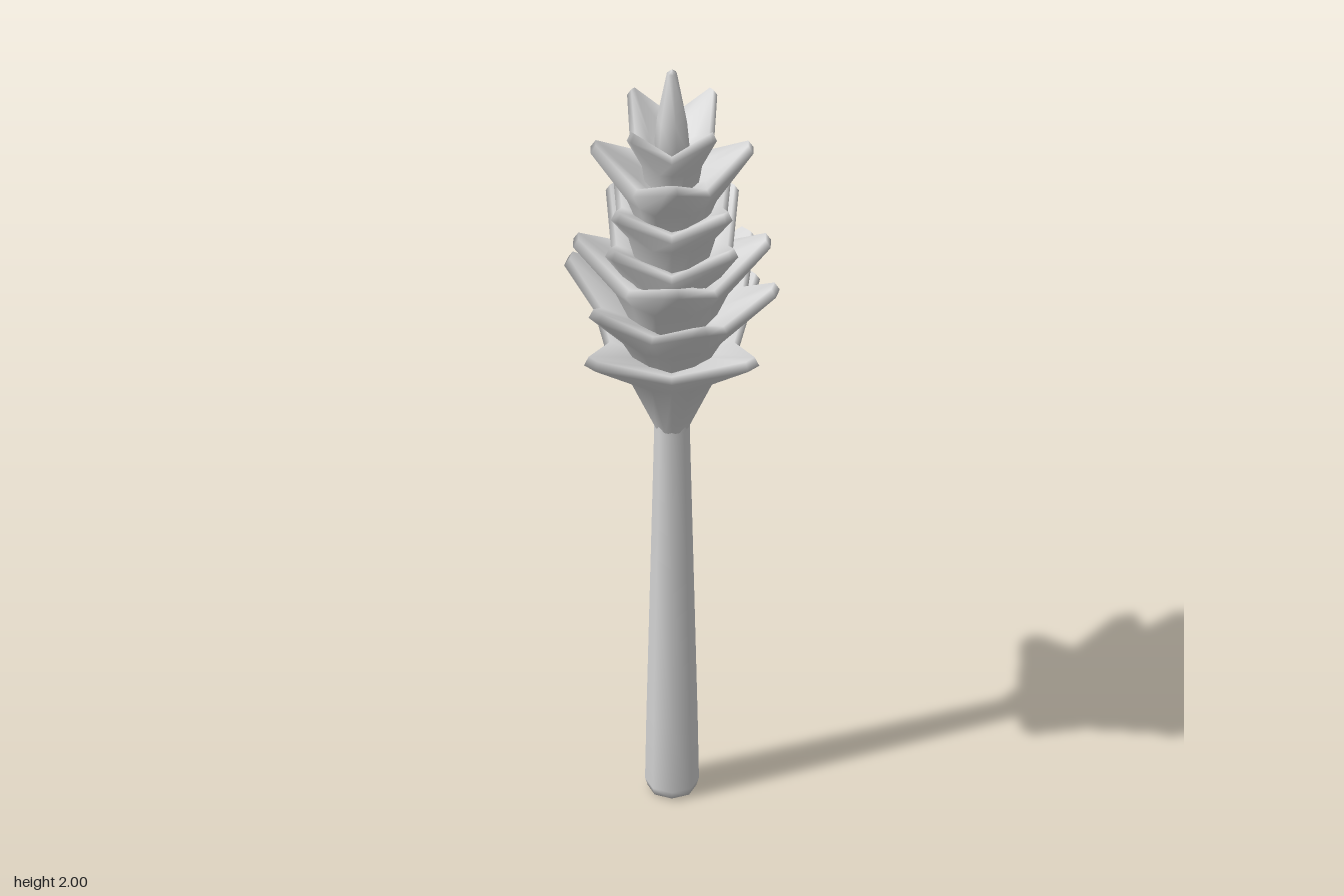
import * as THREE from 'three';

// Skin closed loops of equal length, ordered bottom to top outside, then down the inside.
function skin(loops) {
  const n = loops[0].length, pos = loops.flat(2), idx = [];
  for (let i = 0; i < loops.length - 1; i++) {
    for (let j = 0; j < n; j++) {
      const a = i * n + j, b = i * n + (j + 1) % n;
      idx.push(a, b, b + n, a, b + n, a + n);
    }
  }
  const g = new THREE.BufferGeometry();
  g.setAttribute('position', new THREE.Float32BufferAttribute(pos, 3));
  g.setIndex(idx);
  g.computeVertexNormals();
  return g;
}

// One ring of a star cup: blunt petal tips alternating with notches.
function starLoop(n, turn, rTip, yTip, halfWidth, rNotch, yNotch) {
  const loop = [];
  const put = (r, a, y) => loop.push([r * Math.sin(a), y, r * Math.cos(a)]);
  for (let k = 0; k < n; k++) {
    const a = turn + k * 2 * Math.PI / n;
    const w = Math.min(halfWidth / rTip, 0.5 * Math.PI / n);
    put(rTip, a - w, yTip);
    put(rTip, a + w, yTip);
    put(rNotch, a + Math.PI / n, yNotch);
  }
  return loop;
}

// A whorl of upturned pointed bracts joined into a cup.
function cup({ n = 4, turn = 0, blunt = 0.018, base, rBase, belly, rBelly, tip, rTip, notch, rNotch }) {
  return skin([
    starLoop(n, turn, rBase, base, 0.03, rBase, base),
    starLoop(n, turn, rBelly, belly, 0.04, rBelly * 0.95, belly),
    starLoop(n, turn, rTip, tip - 0.02, blunt, rNotch, notch - 0.015),
    starLoop(n, turn, rTip - 0.012, tip, blunt * 0.8, rNotch - 0.012, notch),
    starLoop(n, turn, rBelly * 0.75, belly + 0.05, 0.03, rBelly * 0.7, belly + 0.04),
    starLoop(n, turn, 0.01, belly + 0.02, 0.003, 0.01, belly + 0.02),
  ]);
}

export function createModel() {
  const group = new THREE.Group();
  const grey = new THREE.MeshStandardMaterial({ color: 0xd4d4d4, side: THREE.DoubleSide });
  grey.name = 'grey';
  const add = (name, geometry) => {
    const mesh = new THREE.Mesh(geometry, grey);
    mesh.name = name;
    group.add(mesh);
  };
  const lathe = (points, sides) =>
    new THREE.LatheGeometry(points.map(([x, y]) => new THREE.Vector2(x, y)), sides);

  // Tapered stem with a nearly flat foot
  add('stem', lathe([[0, 0], [0.056, 0.005], [0.062, 0.025], [0.059, 0.2], [0.05, 0.6], [0.041, 1.0], [0.045, 1.06]], 8));

  // Whorls of bracts from the bottom up
  const diagonal = Math.PI / 4;
  const whorls = [
    { base: 1.01, rBase: 0.04, belly: 1.17, rBelly: 0.11, tip: 1.315, rTip: 0.268, notch: 1.24, rNotch: 0.155 },
    { n: 6, base: 1.15, rBase: 0.06, belly: 1.28, rBelly: 0.13, tip: 1.44, rTip: 0.253, notch: 1.365, rNotch: 0.18 },
    { turn: diagonal, base: 1.27, rBase: 0.08, belly: 1.4, rBelly: 0.135, tip: 1.535, rTip: 0.228, notch: 1.45, rNotch: 0.15 },
    { blunt: 0.012, base: 1.33, rBase: 0.08, belly: 1.45, rBelly: 0.12, tip: 1.59, rTip: 0.205, notch: 1.51, rNotch: 0.14 },
    { blunt: 0.01, base: 1.45, rBase: 0.08, belly: 1.56, rBelly: 0.11, tip: 1.685, rTip: 0.188, notch: 1.615, rNotch: 0.128 },
    { blunt: 0.014, turn: diagonal, base: 1.55, rBase: 0.07, belly: 1.66, rBelly: 0.11, tip: 1.795, rTip: 0.188, notch: 1.72, rNotch: 0.126 },
    { blunt: 0.007, base: 1.66, rBase: 0.06, belly: 1.75, rBelly: 0.075, tip: 1.885, rTip: 0.14, notch: 1.815, rNotch: 0.097 },
  ];
  whorls.forEach((w, i) => add('bractWhorl' + (i + 1), cup(w)));

  // Inner core and the pointed bud at the top
  add('core', lathe([[0, 1.1], [0.07, 1.2], [0.09, 1.45], [0.06, 1.68], [0, 1.76]], 8));
  add('bud', lathe([[0, 1.73], [0.045, 1.76], [0.036, 1.86], [0.012, 1.99], [0, 2.0]], 6));

  return group;
}
